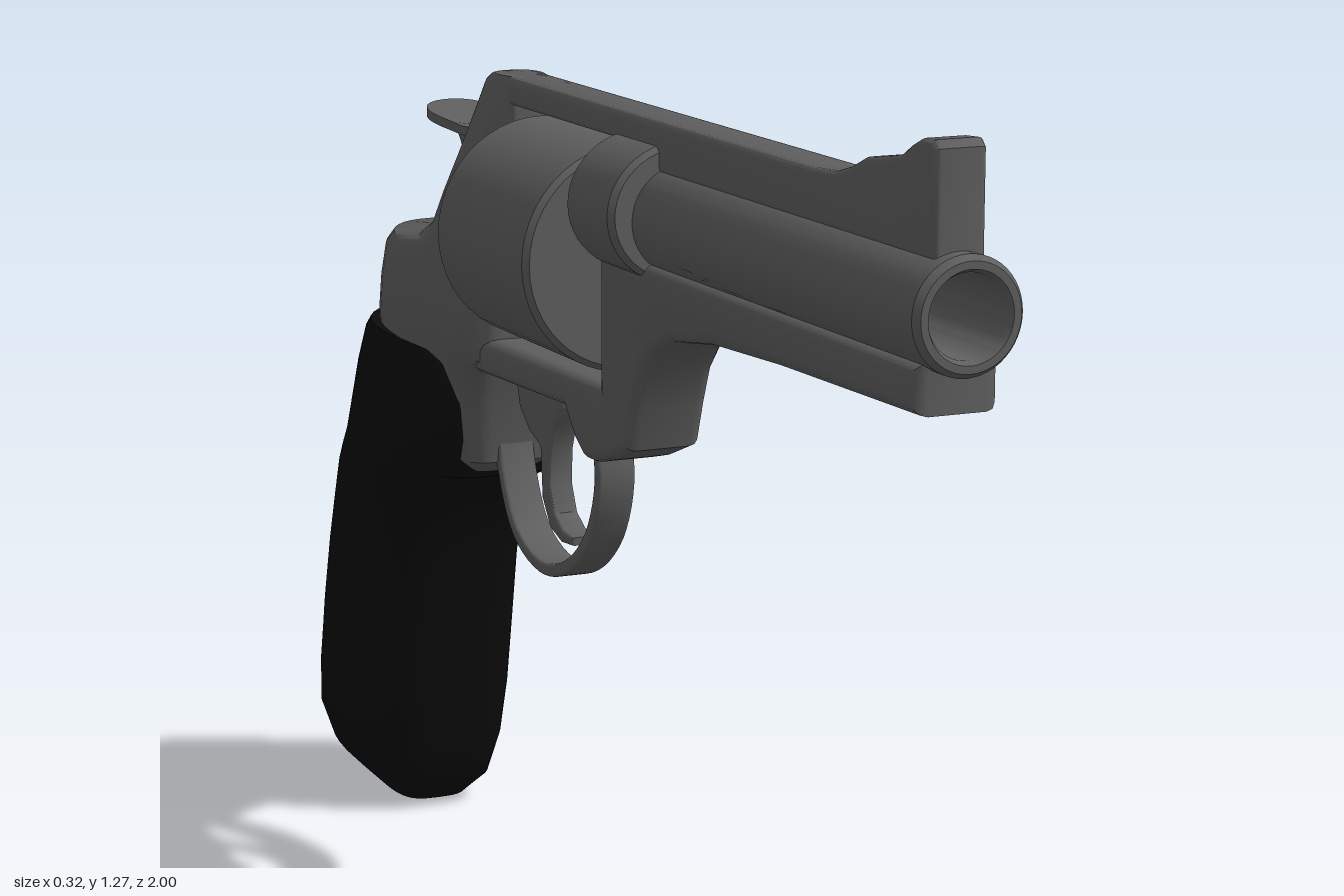
import * as THREE from 'three';
import { toCreasedNormals } from 'three/addons/utils/BufferGeometryUtils.js';

const steel = new THREE.MeshStandardMaterial({ color: 0x5f5f5f });
steel.name = 'gunmetal grey';
const rubber = new THREE.MeshStandardMaterial({ color: 0x0b0b0b });
rubber.name = 'black rubber';

function part(group, name, geometry, material = steel) {
  const mesh = new THREE.Mesh(geometry, material);
  mesh.name = name;
  group.add(mesh);
  return mesh;
}

const vectors = (pts) => pts.map(([a, b]) => new THREE.Vector2(a, b));

// Flat part: a side outline of [z, y] points, thickened across x with bevelled edges
function plate(points, halfWidth, bevel, hole) {
  const shape = new THREE.Shape(vectors(points));
  if (hole) shape.holes.push(new THREE.Path(vectors(hole)));
  const depth = 2 * (halfWidth - bevel);
  const geo = new THREE.ExtrudeGeometry(shape, {
    depth, bevelEnabled: bevel > 0, bevelThickness: bevel, bevelSize: bevel,
    bevelOffset: -bevel, bevelSegments: 3,
  });
  geo.translate(0, 0, -depth / 2);
  geo.rotateY(-Math.PI / 2);
  return toCreasedNormals(geo, 0.6);
}

// Turned part: [radius, z] profile spun around a line along z at height y
function turned(points, y) {
  const geo = new THREE.LatheGeometry(vectors(points), 48);
  geo.rotateX(Math.PI / 2);
  geo.translate(0, y, 0);
  return toCreasedNormals(geo, 0.5);
}

// Rounded body from stacked sections [frontZ, frontY, backZ, backY, halfWidth], bottom to top
function loft(sections, frontPower, backPower, taper) {
  const n = 40, pos = [], index = [];
  const power = (v, e) => Math.sign(v) * Math.abs(v) ** (2 / e);
  for (const [fz, fy, bz, by, w] of sections) {
    for (let i = 0; i < n; i++) {
      const a = (i / n) * Math.PI * 2, c = Math.cos(a);
      const e = c > 0 ? frontPower : backPower;
      const u = power(c, e), t = (1 - u) / 2;
      const x = w * power(Math.sin(a), e) * (1 - taper * Math.max(0, u));
      pos.push(x, fy + (by - fy) * t, fz + (bz - fz) * t);
    }
  }
  const rows = sections.length;
  for (let r = 0; r < rows - 1; r++) {
    for (let i = 0; i < n; i++) {
      const a = r * n + i, b = r * n + (i + 1) % n;
      index.push(a, b, a + n, b, b + n, a + n);
    }
  }
  for (const r of [0, rows - 1]) {
    const [fz, fy, bz, by] = sections[r], centre = pos.length / 3;
    pos.push(0, (fy + by) / 2, (fz + bz) / 2);
    for (let i = 0; i < n; i++) {
      const a = r * n + i, b = r * n + (i + 1) % n;
      if (r) index.push(centre, a, b);
      else index.push(centre, b, a);
    }
  }
  const geo = new THREE.BufferGeometry();
  geo.setAttribute('position', new THREE.Float32BufferAttribute(pos, 3));
  geo.setIndex(index);
  return toCreasedNormals(geo, 0.75);
}

// Side outline of a strip with even thickness along a curve
function ribbon(points, thickness) {
  const curve = new THREE.CatmullRomCurve3(points.map(([z, y]) => new THREE.Vector3(z, y, 0)));
  const outer = [], inner = [];
  for (let i = 0; i <= 40; i++) {
    const p = curve.getPoint(i / 40), t = curve.getTangent(i / 40), h = thickness / 2;
    outer.push([p.x - t.y * h, p.y + t.x * h]);
    inner.unshift([p.x + t.y * h, p.y - t.x * h]);
  }
  return [...outer, ...inner];
}

export function createModel() {
  const model = new THREE.Group();
  model.name = 'revolver';

  // Barrel with an open bore, and the collar at its root
  part(model, 'barrel', turned([
    [0.07, 0.05], [0.075, 0.06], [0.075, 0.99], [0.068, 1.0], [0.058, 1.0],
    [0.053, 0.99], [0.053, 0.7], [0, 0.7],
  ], 1.067));
  const collar = part(model, 'barrelCollar', turned([
    [0, 0.06], [0.1, 0.06], [0.108, 0.068], [0.108, 0.198], [0.1, 0.206], [0, 0.206],
  ], 0));
  collar.scale.y = 0.9;
  collar.position.y = 1.075;

  // Top strap with front sight and the open window for the cylinder
  part(model, 'topStrapAndSight', plate([
    [0.97, 1.13], [0.97, 1.265], [0.96, 1.275], [0.93, 1.273], [0.905, 1.262], [0.88, 1.247],
    [0.84, 1.24], [0.79, 1.232], [0.75, 1.215], [0.71, 1.204], [0.65, 1.2],
    [-0.375, 1.2], [-0.395, 1.19], [-0.4, 1.16], [-0.4, 0.8], [0.1, 0.8], [0.1, 1.13],
  ], 0.035, 0.008, [[0.055, 0.82], [-0.295, 0.82], [-0.295, 1.16], [0.055, 1.16]]));

  // Under-barrel lug, yoke and lower strap, widening towards the rear
  const lower = plate([
    [0.97, 1.01], [0.97, 0.945], [0.6, 0.94], [0.4, 0.932], [0.28, 0.915], [0.22, 0.89],
    [0.185, 0.85], [0.165, 0.8], [0.145, 0.74], [0.08, 0.715], [0.03, 0.702], [0, 0.702],
    [-0.03, 0.725], [-0.06, 0.765], [-0.36, 0.765], [-0.36, 0.82], [0.055, 0.82], [0.055, 1.01],
  ], 0.058, 0.018);
  const p = lower.attributes.position;
  for (let i = 0; i < p.count; i++) {
    p.setX(i, p.getX(i) * (1 + Math.max(0, -p.getZ(i)) * 1.2));
  }
  part(model, 'lugAndLowerFrame', lower);

  // Cylinder and its axle
  part(model, 'cylinder', turned([
    [0, -0.28], [0.152, -0.28], [0.16, -0.272], [0.16, 0.03], [0.152, 0.038], [0, 0.038],
  ], 0.987));
  part(model, 'cylinderAxle', turned([
    [0, -0.31], [0.03, -0.31], [0.03, 0.08], [0, 0.08],
  ], 0.987));

  // Rear frame: recoil shield, sloping back and shoulder above the grip
  part(model, 'rearFrame', loft([
    [-0.40, 0.60, -0.60, 0.60, 0.07], [-0.37, 0.62, -0.62, 0.62, 0.09],
    [-0.357, 0.70, -0.70, 0.70, 0.105], [-0.335, 0.765, -0.725, 0.79, 0.118],
    [-0.295, 0.785, -0.727, 0.82, 0.122], [-0.295, 0.85, -0.715, 0.87, 0.122],
    [-0.295, 0.90, -0.70, 0.92, 0.118], [-0.295, 0.92, -0.675, 0.94, 0.112],
    [-0.295, 0.935, -0.57, 0.945, 0.106], [-0.295, 0.965, -0.515, 0.97, 0.1],
    [-0.295, 1.02, -0.485, 1.02, 0.09], [-0.295, 1.08, -0.457, 1.08, 0.072],
    [-0.295, 1.14, -0.435, 1.14, 0.052], [-0.295, 1.185, -0.41, 1.185, 0.042],
    [-0.295, 1.2, -0.385, 1.2, 0.034],
  ], 6, 2.5, 0.25));

  // Grip
  part(model, 'grip', loft([
    [-0.72, 0.006, -0.86, 0.045, 0.03], [-0.685, 0.012, -0.93, 0.062, 0.07],
    [-0.65, 0.045, -0.98, 0.09, 0.105], [-0.628, 0.11, -1.0, 0.135, 0.122],
    [-0.61, 0.20, -0.985, 0.20, 0.128], [-0.593, 0.315, -0.955, 0.31, 0.13],
    [-0.575, 0.42, -0.925, 0.41, 0.13], [-0.55, 0.50, -0.898, 0.49, 0.13],
    [-0.52, 0.545, -0.88, 0.545, 0.131], [-0.47, 0.568, -0.868, 0.575, 0.132],
    [-0.41, 0.59, -0.855, 0.605, 0.133], [-0.385, 0.65, -0.825, 0.66, 0.135],
    [-0.376, 0.71, -0.79, 0.725, 0.136], [-0.385, 0.765, -0.75, 0.785, 0.134],
    [-0.4, 0.78, -0.738, 0.8, 0.127],
  ], 3.6, 2.4, 0.08), rubber);

  // Trigger guard and trigger
  part(model, 'triggerGuard', plate(ribbon([
    [-0.03, 0.75], [-0.015, 0.66], [-0.05, 0.575], [-0.13, 0.513], [-0.22, 0.495],
    [-0.31, 0.527], [-0.36, 0.6], [-0.378, 0.68], [-0.35, 0.77],
  ], 0.019), 0.028, 0.004));
  part(model, 'trigger', plate([
    [-0.155, 0.78], [-0.16, 0.74], [-0.185, 0.71], [-0.2, 0.67], [-0.203, 0.62], [-0.185, 0.58],
    [-0.155, 0.562], [-0.12, 0.558], [-0.12, 0.546], [-0.16, 0.543], [-0.2, 0.556],
    [-0.228, 0.595], [-0.235, 0.67], [-0.275, 0.685], [-0.31, 0.715], [-0.33, 0.78],
  ], 0.019, 0.004));

  // Hammer with a flared thumb spur
  part(model, 'hammer', plate([
    [-0.4, 1.1], [-0.435, 1.122], [-0.455, 1.13], [-0.475, 1.115], [-0.49, 1.1], [-0.53, 1.1],
    [-0.53, 1.088], [-0.505, 1.06], [-0.487, 1.02], [-0.5, 0.95], [-0.4, 0.95],
  ], 0.022, 0.004));
  const spurShape = new THREE.Shape();
  spurShape.moveTo(-0.02, 0.47);
  spurShape.bezierCurveTo(-0.025, 0.52, -0.05, 0.54, -0.05, 0.575);
  spurShape.bezierCurveTo(-0.05, 0.63, 0.05, 0.63, 0.05, 0.575);
  spurShape.bezierCurveTo(0.05, 0.54, 0.025, 0.52, 0.02, 0.47);
  const spur = new THREE.ExtrudeGeometry(spurShape, { depth: 0.014, bevelEnabled: false });
  spur.rotateX(-Math.PI / 2);
  const s = spur.attributes.position;
  for (let i = 0; i < s.count; i++) {
    s.setY(i, s.getY(i) + 1.09 + Math.max(0, -s.getZ(i) - 0.5) * 0.22);
  }
  part(model, 'hammerSpur', toCreasedNormals(spur, 0.6));

  return model;
}
